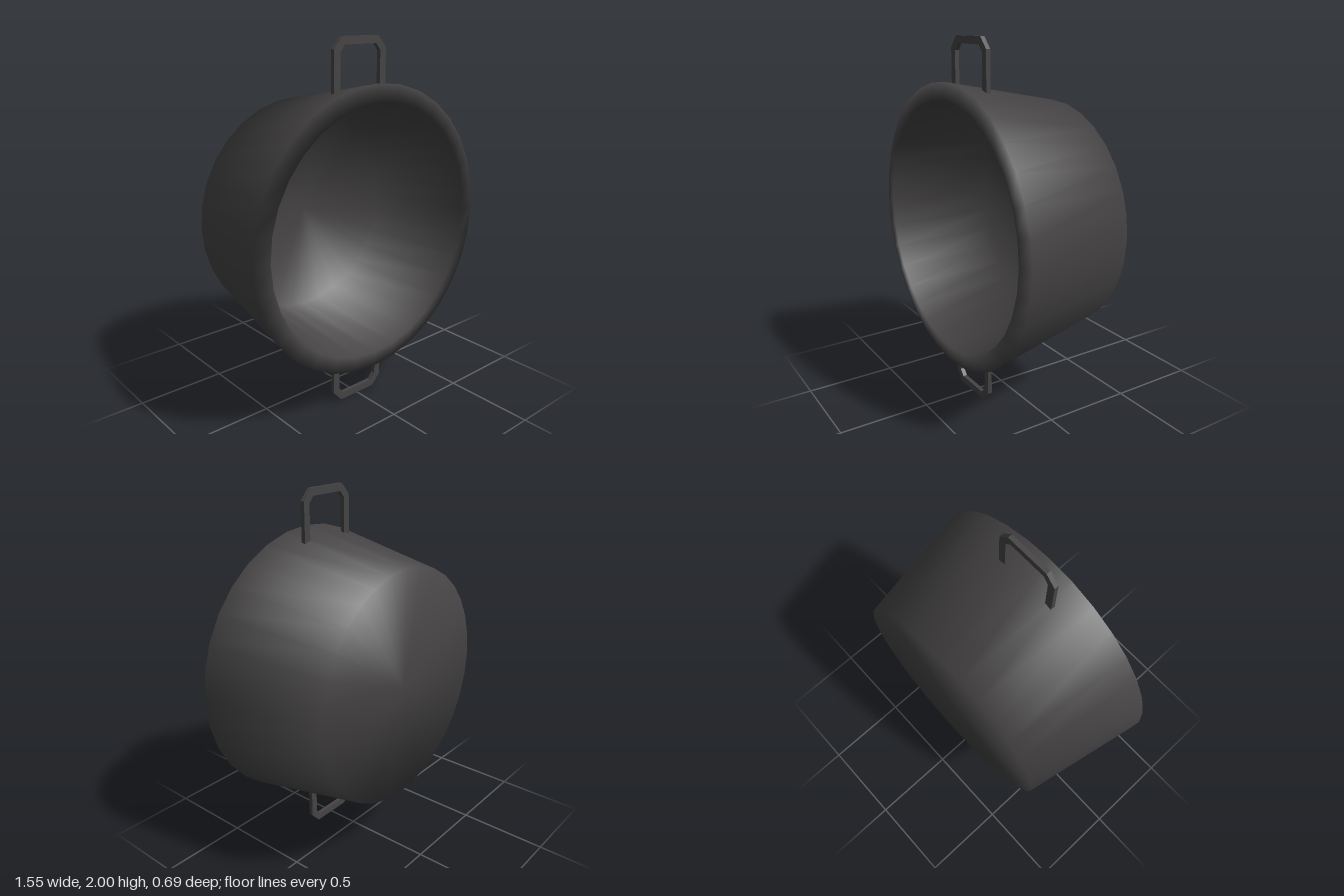
import * as THREE from 'three';

export function createModel() {
  const group = new THREE.Group();
  const iron = new THREE.MeshStandardMaterial({ color: 0x454343 });

  // Hollow tapered pot lying on its side, mouth towards +z: base, wall, rim, cavity
  const profile = [
    [0, -0.345], [0.645, -0.345], [0.775, 0.333],
    [0.682, 0.345], [0.6, -0.28], [0, -0.28],
  ].map(([r, z]) => new THREE.Vector2(r, z));
  const potGeometry = new THREE.LatheGeometry(profile, 32);
  potGeometry.rotateX(Math.PI / 2);
  const pot = new THREE.Mesh(potGeometry, iron);
  pot.name = 'potBody';
  pot.position.y = 1.003;
  group.add(pot);

  // Chamfered square-bar handle, outlined as a U and mirrored to the other side
  const outer = [[0.175, 0.72], [0.175, 0.94], [0.12, 1]];
  const inner = [[0.135, 0.72], [0.135, 0.925], [0.105, 0.96]];
  const mirror = (pts) => pts.map(([x, y]) => [-x, y]).reverse();
  const outline = [
    ...outer, ...mirror(outer),
    ...mirror(inner).reverse(), ...inner.slice().reverse(),
  ].map(([x, y]) => new THREE.Vector2(x, y));
  const thickness = 0.024;
  const handleGeometry = new THREE.ExtrudeGeometry(new THREE.Shape(outline), {
    depth: thickness, bevelEnabled: false,
  });
  handleGeometry.translate(0, 0, -thickness / 2);

  for (const [name, turn] of [['topHandle', 0], ['bottomHandle', Math.PI]]) {
    const handle = new THREE.Mesh(handleGeometry, iron);
    handle.name = name;
    handle.position.set(0, 1, 0.188);
    handle.rotation.z = turn;
    group.add(handle);
  }
  return group;
}
